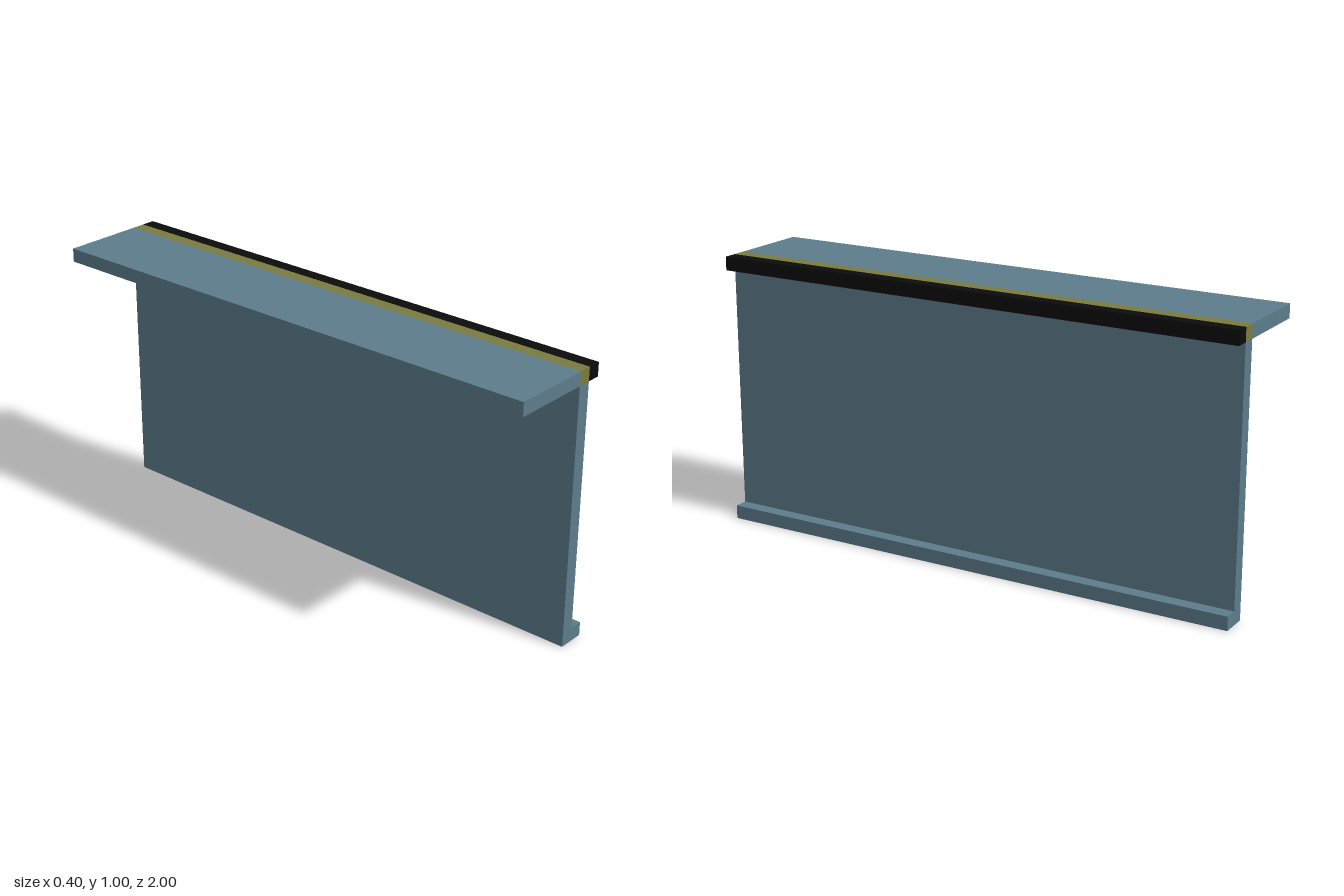
import * as THREE from 'three';

const LENGTH = 2;
const THICK = 0.05;

export function createModel() {
  const model = new THREE.Group();
  model.name = 'beam';

  const steel = new THREE.MeshStandardMaterial({ color: 0x5d7c8c });
  steel.name = 'blue grey steel';
  const olive = new THREE.MeshStandardMaterial({ color: 0x7a7a40 });
  olive.name = 'olive';
  const black = new THREE.MeshStandardMaterial({ color: 0x0b0b0b });
  black.name = 'black';

  // Upright web and bottom lip, one L-shaped section run along z
  const section = new THREE.Shape([
    [0.1, 0], [0.2, 0], [0.2, THICK], [0.15, THICK], [0.15, 1 - THICK], [0.1, 1 - THICK],
  ].map(([x, y]) => new THREE.Vector2(x, y)));
  const webGeometry = new THREE.ExtrudeGeometry(section, { depth: LENGTH, bevelEnabled: false });
  webGeometry.translate(0, 0, -LENGTH / 2);
  const web = new THREE.Mesh(webGeometry, steel);
  web.name = 'webWithBottomLip';
  model.add(web);

  // Top flange, split across its width into three coloured strips
  const strip = (name, x0, x1, material) => {
    const mesh = new THREE.Mesh(new THREE.BoxGeometry(x1 - x0, THICK, LENGTH), material);
    mesh.position.set((x0 + x1) / 2, 1 - THICK / 2, 0);
    mesh.name = name;
    model.add(mesh);
  };
  strip('topFlange', -0.2, 0.1, steel);
  strip('topJointStrip', 0.1, 0.15, olive);
  strip('topEdgeStrip', 0.15, 0.2, black);

  return model;
}
